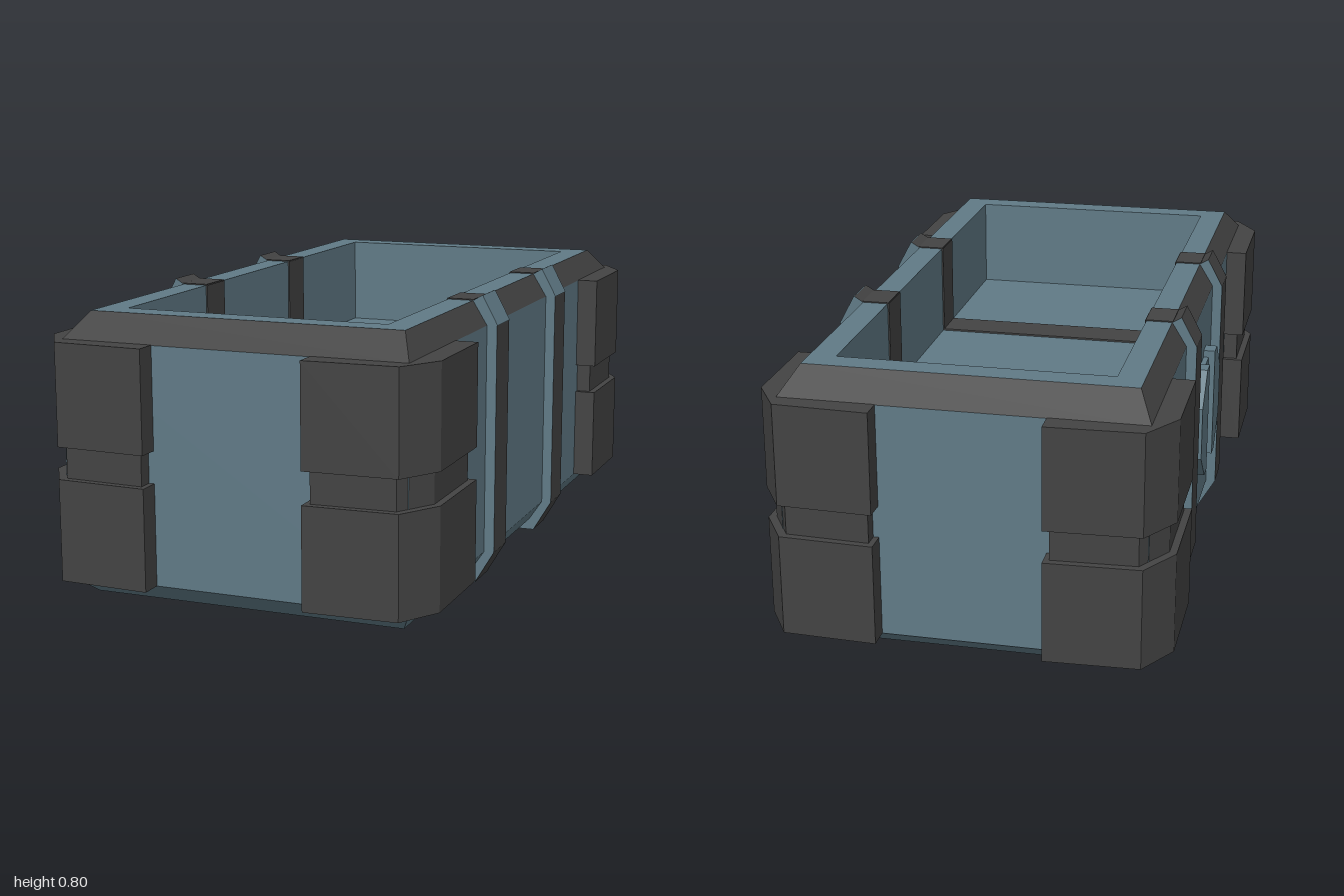
import * as THREE from 'three';

const blue = new THREE.MeshStandardMaterial({ color: 0x607a86 });
blue.name = 'steel blue';
const dark = new THREE.MeshStandardMaterial({ color: 0x434343 });
dark.name = 'charcoal';

function add(parent, geometry, material, name, x = 0, y = 0, z = 0) {
  const mesh = new THREE.Mesh(geometry, material);
  mesh.name = name;
  mesh.position.set(x, y, z);
  parent.add(mesh);
  return mesh;
}

// Flat-faced skin through rectangular rings [half x, half z, y]
function ringSkin(rings) {
  const signs = [[1, 1], [1, -1], [-1, -1], [-1, 1]];
  const pos = [];
  const corner = (r, k) => [signs[k % 4][0] * r[0], r[2], signs[k % 4][1] * r[1]];
  for (let i = 0; i < rings.length - 1; i++) {
    for (let k = 0; k < 4; k++) {
      const a = corner(rings[i], k), b = corner(rings[i], k + 1);
      const c = corner(rings[i + 1], k + 1), d = corner(rings[i + 1], k);
      if (rings[i][0] > 0) pos.push(...a, ...b, ...d);
      if (rings[i + 1][0] > 0) pos.push(...b, ...c, ...d);
    }
  }
  const g = new THREE.BufferGeometry();
  g.setAttribute('position', new THREE.Float32BufferAttribute(pos, 3));
  g.computeVertexNormals();
  return g;
}

function extrude(points, depth) {
  const shape = new THREE.Shape(points.map(p => new THREE.Vector2(...p)));
  return new THREE.ExtrudeGeometry(shape, { depth, bevelEnabled: false });
}

const FLOOR = 0.52, RIM = 0.78, BELT = 0.11;

// Open crate body with bevelled top and bottom edges
function makeBody() {
  const g = new THREE.Group();
  g.name = 'body';
  add(g, ringSkin([[0, 0, 0.03], [0.43, 0.86, 0.03], [0.47, 0.94, 0.09], [0.47, 0.94, 0.715]]), blue, 'outerShell');
  add(g, ringSkin([[0.47, 0.94, 0.715], [0.43, 0.86, RIM]]), dark, 'rimBevel');
  add(g, ringSkin([[0.43, 0.86, RIM], [0.36, 0.79, RIM], [0.36, 0.79, FLOOR], [0, 0, FLOOR]]), blue, 'innerTray');
  return g;
}

// Strap round the outside, continued as a painted band inside
function makeBelt() {
  const g = new THREE.Group();
  g.name = 'belt';
  const outer = [[0.445, 0], [0.498, 0.09], [0.498, 0.715], [0.455, 0.795]];
  const inner = [[0.43, RIM], [0.469, 0.715], [0.469, 0.09], [0.43, 0.031]];
  const half = [...outer, ...inner];
  const mirrored = half.slice().reverse().map(([x, y]) => [-x, y]);
  add(g, extrude([...half, ...mirrored], BELT), [blue, dark], 'strap', 0, 0, -BELT / 2);

  // Blue face on the upper slope of the left side
  const slope = add(g, new THREE.BoxGeometry(0.004, 0.09, BELT), blue, 'slopeFace', 0.4765, 0.755, 0);
  slope.rotation.z = Math.atan2(0.043, 0.08);

  add(g, new THREE.BoxGeometry(0.72, 0.006, BELT), dark, 'floorBand', 0, FLOOR + 0.002, 0);
  for (const s of [1, -1]) {
    add(g, new THREE.BoxGeometry(0.006, RIM - FLOOR, BELT), dark, 'wallBand', s * 0.359, (RIM + FLOOR) / 2, 0);
    add(g, new THREE.BoxGeometry(0.074, 0.006, BELT), dark, 'rimBand', s * 0.395, RIM, 0);
  }
  return g;
}

// Corner guard: two thick blocks with a recessed band between
function makeGuard(sx, sz) {
  const g = new THREE.Group();
  g.name = 'cornerGuard';
  const thick = [[0.215, 1.0], [0.463, 0.99], [0.53, 0.88], [0.53, 0.6], [0.46, 0.6], [0.46, 0.93], [0.215, 0.93]];
  const thin = [[0.23, 0.98], [0.45, 0.97], [0.511, 0.87], [0.511, 0.615], [0.46, 0.615], [0.46, 0.93], [0.23, 0.93]];
  const layers = [[thick, 0.09, 0.36, 'lowerBlock'], [thin, 0.36, 0.445, 'recess'], [thick, 0.445, 0.716, 'upperBlock']];
  for (const [plan, y0, y1, name] of layers) {
    const geo = extrude(plan.map(([x, z]) => [x * sx, -z * sz]), y1 - y0);
    geo.rotateX(-Math.PI / 2);
    add(g, geo, dark, name, 0, y0, 0);
  }
  return g;
}

// Octagonal latch on the right side: two raised halves and a sunken centre bar
function makeLatch() {
  const g = new THREE.Group();
  g.name = 'latch';
  const half = [[0.06, -0.16], [0.11, -0.16], [0.2, -0.075], [0.2, 0.075], [0.11, 0.16], [0.06, 0.16]];
  for (const s of [1, -1]) {
    const geo = extrude(half.map(([z, y]) => [z * s, y]), 0.035);
    geo.rotateY(-Math.PI / 2);
    add(g, geo, blue, 'latchHalf', -0.468, 0, 0);
  }
  add(g, new THREE.BoxGeometry(0.02, 0.28, 0.12), blue, 'latchCentre', -0.475, 0, 0);
  add(g, new THREE.BoxGeometry(0.02, 0.24, 0.04), blue, 'latchBar', -0.482, 0, 0);
  g.position.y = 0.41;
  return g;
}

export function createModel() {
  const model = new THREE.Group();
  model.name = 'crate';
  model.add(makeBody(), makeLatch());
  for (const s of [1, -1]) {
    const belt = makeBelt();
    belt.position.z = s * 0.285;
    model.add(belt);
    for (const t of [1, -1]) model.add(makeGuard(s, t));
  }
  return model;
}
